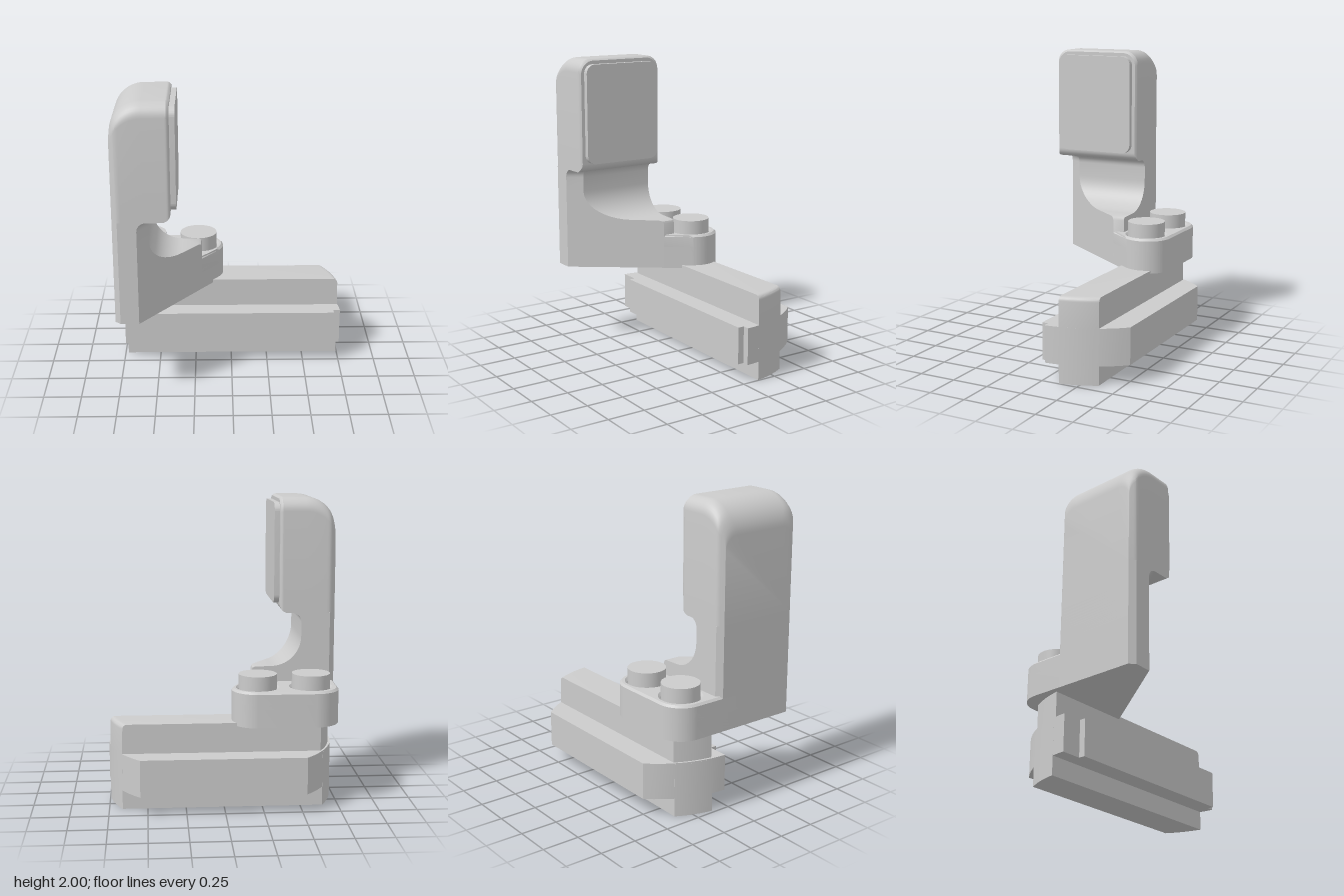
import * as THREE from 'three';
import { toCreasedNormals } from 'three/addons/utils/BufferGeometryUtils.js';

const material = new THREE.MeshStandardMaterial({ color: 0xcccccc });

// Skins a stack of equal-length convex rings [x, y, z] and closes both ends.
function loft(rings) {
  const n = rings[0].length, index = [];
  for (let r = 0; r < rings.length - 1; r++) {
    for (let i = 0; i < n; i++) {
      const a = r * n + i, b = r * n + (i + 1) % n;
      index.push(a, b, b + n, a, b + n, a + n);
    }
  }
  const last = (rings.length - 1) * n;
  for (let i = 1; i < n - 1; i++) {
    index.push(0, i + 1, i, last, last + i, last + i + 1);
  }
  const geometry = new THREE.BufferGeometry();
  geometry.setAttribute('position', new THREE.Float32BufferAttribute(rings.flat(2), 3));
  geometry.setIndex(index);
  return geometry;
}

// Sample n + 1 angles from a to b.
const sweep = (a, b, n, f) => Array.from({ length: n + 1 }, (_, i) => f(a + (b - a) * i / n));

// Horizontal slice of the rail, with both ends following a large circle.
function railRing(y, zBack, zFront, leftInset = 0, rightInset = 0) {
  const end = (r, inset) => z => Math.sqrt(r * r - z * z) - inset;
  const right = end(0.755, rightInset), left = end(0.74, leftInset);
  return [
    ...sweep(zFront, zBack, 10, z => [right(z), y, z]),
    ...sweep(zBack, zFront, 10, z => [-left(z), y, z]),
  ];
}

// Slanted front wall of the bracket: z for a given x.
const slantZ = x => 0.52 - (x + 0.6) * 1.349;

// Horizontal slice of the bracket body, ending at x = xr and at the slant.
function bodyRing(xr, y, shift = 0) {
  return [
    [-0.755, y, 0.485], [-0.72, y, 0.52], [-0.6 + shift, y, 0.52],
    [xr, y, slantZ(xr - shift)], [xr, y, -0.1],
    [-0.72, y, -0.1], [-0.755, y, -0.065],
  ];
}

// Vertical slice of the head across x, with rounded top corners.
function headRing(x) {
  const top = x < -0.555 ? 1.8 + Math.sqrt(Math.max(0, 0.04 - (x + 0.555) ** 2)) : 2;
  const bottom = x > -0.445 ? 1.3 - Math.sqrt(Math.max(0, 0.0036 - (x + 0.445) ** 2)) : 1.24;
  const rim = Math.max(0, x + 0.4) * 0.8;
  const inset = Math.max(0, -0.72 - x) + rim;
  const front = 0.52 - inset, back = -0.1 + inset, r = 0.09, t = top - rim;
  return [
    [x, bottom, front], [x, bottom, back],
    ...sweep(0, Math.PI / 2, 8, a => [x, t - r + r * Math.sin(a), back + r - r * Math.cos(a)]),
    ...sweep(Math.PI / 2, 0, 8, a => [x, t - r + r * Math.sin(a), front - r + r * Math.cos(a)]),
  ];
}

// Plan of the mounting plate; shape y is -z.
function plateShape() {
  const s = new THREE.Shape();
  s.moveTo(-0.755, -0.115);
  s.lineTo(-0.3, -0.115);
  s.lineTo(-0.087, 0.172);
  s.absarc(-0.22, 0.27, 0.165, Math.atan2(-0.596, 0.803), Math.PI / 2, false);
  s.lineTo(-0.59, 0.435);
  s.absarc(-0.59, 0.27, 0.165, Math.PI / 2, Math.PI, false);
  s.closePath();
  return s;
}

const boltX = [-0.575, -0.225], boltZ = -0.26;

export function createModel() {
  const model = new THREE.Group();
  const add = (name, geometry, x = 0, y = 0, z = 0) => {
    const mesh = new THREE.Mesh(toCreasedNormals(geometry, 0.5), material);
    mesh.name = name;
    mesh.position.set(x, y, z);
    model.add(mesh);
  };

  // Rail: upright web with a rounded upper right edge
  add('railWeb', loft([
    railRing(0, -0.36, -0.12), railRing(0.36, -0.36, -0.12),
    railRing(0.361, -0.36, -0.12, 0.015), 
    ...sweep(0, Math.PI / 2, 6, a =>
      railRing(0.535 + 0.03 * Math.sin(a), -0.36, -0.12, 0.015, 0.005 + 0.03 * (1 - Math.cos(a)))),
  ]));

  // Rail: wide flange and the raised strip along its front
  add('railFlange', loft([railRing(0.125, -0.52, -0.025), railRing(0.37, -0.52, -0.025)]));
  add('flangeStrip', new THREE.BoxGeometry(1.31, 0.245, 0.06), 0.055, 0.2475, -0.013);

  // Mounting plate: solid base, then a chamfered top with bolt recesses
  const base = new THREE.ExtrudeGeometry(plateShape(), { depth: 0.15, bevelEnabled: false, curveSegments: 24 });
  add('plateBase', base.rotateX(-Math.PI / 2), 0, 0.545, 0);
  const drilled = plateShape();
  for (const x of boltX) {
    drilled.holes.push(new THREE.Path().absarc(x, -boltZ, 0.129, 0, Math.PI * 2, true));
  }
  const top = new THREE.ExtrudeGeometry(drilled, {
    depth: 0.1, bevelSize: 0.014, bevelThickness: 0.014, bevelOffset: -0.014, bevelSegments: 1, curveSegments: 24,
  });
  add('plateTop', top.rotateX(-Math.PI / 2), 0, 0.666, 0);

  // Bolts
  for (const x of boltX) {
    add('bolt', new THREE.CylinderGeometry(0.125, 0.125, 0.29, 48), x, 0.725, boltZ);
  }

  // Bracket body: foot, concave sweep into the neck, fillet under the head
  add('bracketBody', loft([
    bodyRing(-0.2, 0.545), bodyRing(-0.2, 0.86), bodyRing(-0.206, 0.875), bodyRing(-0.22, 0.882),
    ...sweep(0, Math.PI / 2, 14, a => bodyRing(-0.33 - 0.2 * Math.sin(a), 1.085 - 0.2 * Math.cos(a))),
    ...sweep(0, Math.PI / 2, 8, a => {
      const shift = 0.06 * (1 - Math.cos(a));
      return bodyRing(-0.53 + shift, 1.18 + 0.06 * Math.sin(a), shift);
    }),
  ]));

  // Head with a large rounded upper left edge
  add('head', loft([
    ...sweep(0, Math.PI / 2, 14, a => headRing(-0.555 - 0.2 * Math.cos(a))),
    ...sweep(0, Math.PI / 2, 8, a => headRing(-0.445 + 0.06 * Math.sin(a))),
  ]));

  // Rounded pad on the head's inner face
  const w = 0.275, h = 0.333, r = 0.06;
  const pad = new THREE.Shape();
  pad.absarc(w - r, h - r, r, 0, Math.PI / 2, false);
  pad.absarc(r - w, h - r, r, Math.PI / 2, Math.PI, false);
  pad.absarc(r - w, r - h, r, Math.PI, Math.PI * 1.5, false);
  pad.absarc(w - r, r - h, r, Math.PI * 1.5, Math.PI * 2, false);
  const padGeometry = new THREE.ExtrudeGeometry(pad, { depth: 0.05, bevelEnabled: false });
  add('pad', padGeometry.rotateY(Math.PI / 2), -0.4, 1.632, 0.21);

  return model;
}
